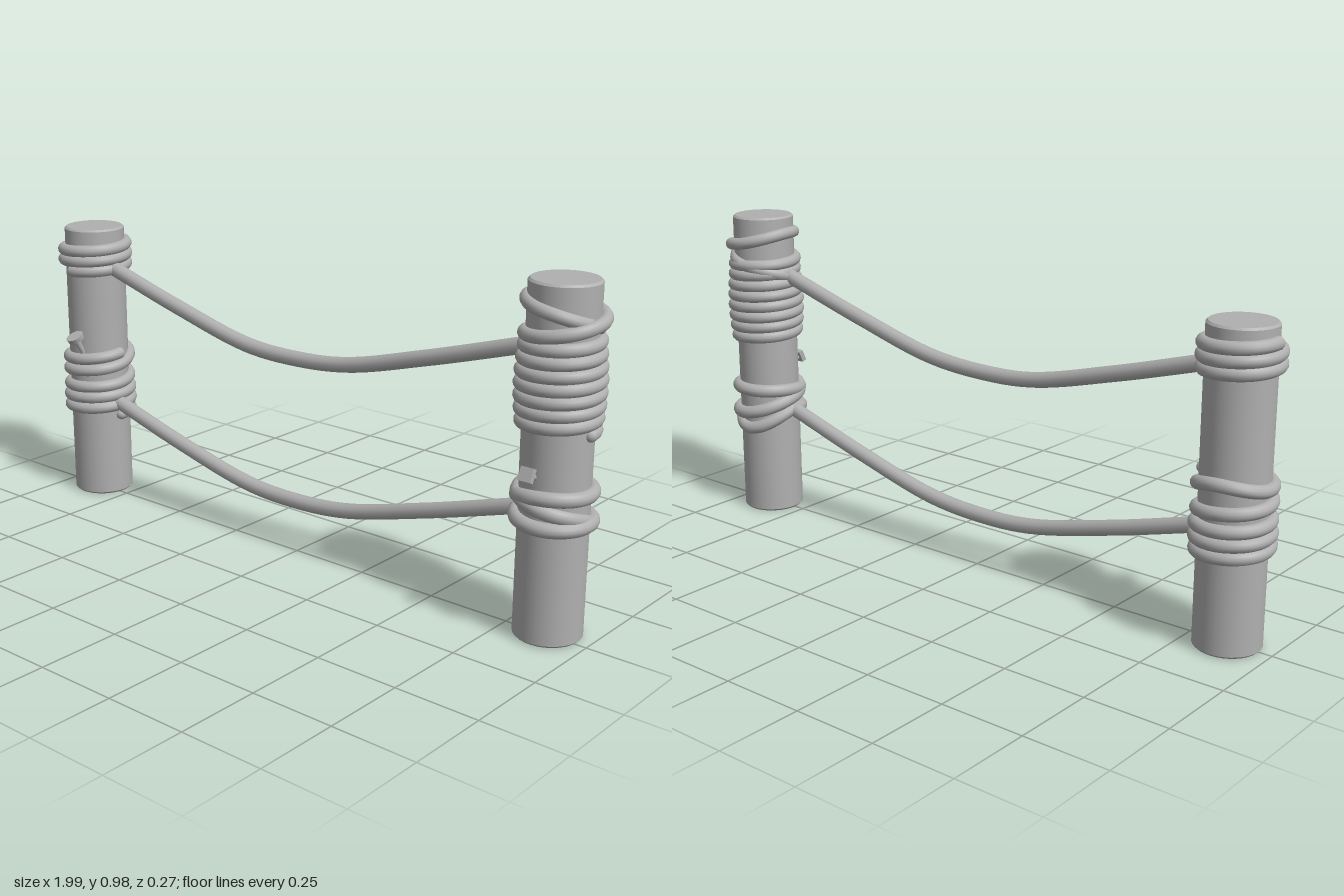
import * as THREE from 'three';
import { toCreasedNormals } from 'three/addons/utils/BufferGeometryUtils.js';

const POST_Z = -0.01;
const POST_R = 0.095;

// Curve winding round a post; one [height, radius] pair per quarter turn
class WrapCurve extends THREE.Curve {
  constructor(x, startTurn, step, pairs) {
    super();
    this.x = x;
    this.path = new THREE.CatmullRomCurve3(
      pairs.map(([y, r], i) => new THREE.Vector3(startTurn + i * step, y, r)), false, 'catmullrom');
  }
  getPoint(u, target = new THREE.Vector3()) {
    const p = this.path.getPoint(u);
    const a = p.x * Math.PI * 2;
    return target.set(this.x + p.z * Math.cos(a), p.y, POST_Z - p.z * Math.sin(a));
  }
}

export function createModel() {
  const model = new THREE.Group();
  model.name = 'ropeFence';
  const grey = new THREE.MeshStandardMaterial({ color: 0xb0b0b0 });
  grey.name = 'grey';

  const add = (name, geometry, parent = model) => {
    const mesh = new THREE.Mesh(geometry, grey);
    mesh.name = name;
    parent.add(mesh);
    return mesh;
  };

  // Round post with a small bevel at both ends
  const post = (name, x, height) => {
    const b = 0.006;
    const profile = [[0, 0], [POST_R - b, 0], [POST_R, b], [POST_R, height - b], [POST_R - b, height], [0, height]]
      .map(([r, y]) => new THREE.Vector2(r, y));
    const mesh = add(name, toCreasedNormals(new THREE.LatheGeometry(profile, 32), 0.6));
    mesh.position.set(x, 0, POST_Z);
  };

  // Rope with rounded ends
  const rope = (name, curve, radius, segments) => {
    const group = new THREE.Group();
    group.name = name;
    add(name + 'Strand', new THREE.TubeGeometry(curve, segments, radius, 12), group);
    for (const u of [0, 1]) {
      add(name + 'End', new THREE.SphereGeometry(radius, 12, 8), group).position.copy(curve.getPoint(u));
    }
    model.add(group);
  };

  // Evenly pitched coil, swelling in the middle
  const coil = (quarters, y0, y1, r, swell) => Array.from({ length: quarters + 1 }, (_, i) => {
    const t = i / quarters;
    return [y0 + (y1 - y0) * t, r + swell * Math.sin(Math.PI * t)];
  });

  const LEFT = 0.875, RIGHT = -0.87;
  post('leftPost', LEFT, 0.975);
  post('rightPost', RIGHT, 0.89);

  // Sagging ropes between the posts
  const sag = (points) => new THREE.CatmullRomCurve3(points.map(([x, y]) => new THREE.Vector3(x, y, 0)));
  rope('upperRope', sag([[-0.78, 0.765], [-0.48, 0.68], [-0.2, 0.613], [-0.02, 0.604],
    [0.18, 0.62], [0.46, 0.692], [0.78, 0.787]]), 0.023, 48);
  rope('lowerRope', sag([[-0.78, 0.318], [-0.48, 0.234], [-0.2, 0.17], [-0.02, 0.16],
    [0.18, 0.176], [0.46, 0.248], [0.78, 0.345]]), 0.023, 48);

  // Long coil on the left post, finished with a loose crossing loop
  rope('leftUpperWrap', new WrapCurve(LEFT, 0, 0.25, [
    ...coil(28, 0.58, 0.815, 0.095, 0.008),
    [0.822, 0.097], [0.828, 0.097], [0.84, 0.098], [0.87, 0.105], [0.892, 0.1], [0.922, 0.096],
    [0.905, 0.094], [0.863, 0.088], [0.825, 0.094], [0.787, 0.1],
  ]), 0.0185, 560);

  // Two loops with a crossing strand
  rope('leftLowerWrap', new WrapCurve(LEFT, 0.5, -0.25, [
    [0.345, 0.1], [0.285, 0.094], [0.345, 0.088], [0.385, 0.094], [0.41, 0.097], [0.415, 0.098],
    [0.415, 0.098], [0.415, 0.098], [0.38, 0.098], [0.337, 0.1], [0.335, 0.1], [0.335, 0.1], [0.345, 0.1],
  ]), 0.0205, 200);

  // Short coil at the top of the right post
  rope('rightUpperWrap', new WrapCurve(RIGHT, -0.25, 0.25, coil(11, 0.755, 0.845, 0.098, 0.002)), 0.019, 190);

  // Coil ending in a loose upper turn
  rope('rightLowerWrap', new WrapCurve(RIGHT, 0, 0.25, [
    ...coil(12, 0.272, 0.38, 0.097, 0.003),
    [0.4, 0.097], [0.412, 0.098], [0.425, 0.098], [0.442, 0.098], [0.478, 0.098], [0.458, 0.098],
    [0.464, 0.098], [0.48, 0.096],
  ]), 0.019, 300);

  // Nails: shank pointing into the post, flat head outside
  const nail = (name, tip, head, shankR, headGeometry) => {
    const group = new THREE.Group();
    group.name = name;
    const axis = new THREE.Vector3().subVectors(head, tip);
    const length = axis.length();
    add(name + 'Shank', new THREE.CylinderGeometry(shankR, shankR * 0.8, length, 10), group).position.y = length / 2;
    add(name + 'Head', headGeometry, group).position.y = length;
    group.position.copy(tip);
    group.quaternion.setFromUnitVectors(new THREE.Vector3(0, 1, 0), axis.normalize());
    model.add(group);
  };
  nail('rightNail', new THREE.Vector3(-0.845, 0.475, 0.074), new THREE.Vector3(-0.852, 0.54, 0.105),
    0.01, new THREE.CylinderGeometry(0.029, 0.026, 0.016, 12));
  nail('leftNail', new THREE.Vector3(0.867, 0.463, 0.07), new THREE.Vector3(0.867, 0.485, 0.118),
    0.01, new THREE.BoxGeometry(0.038, 0.016, 0.038));

  return model;
}
